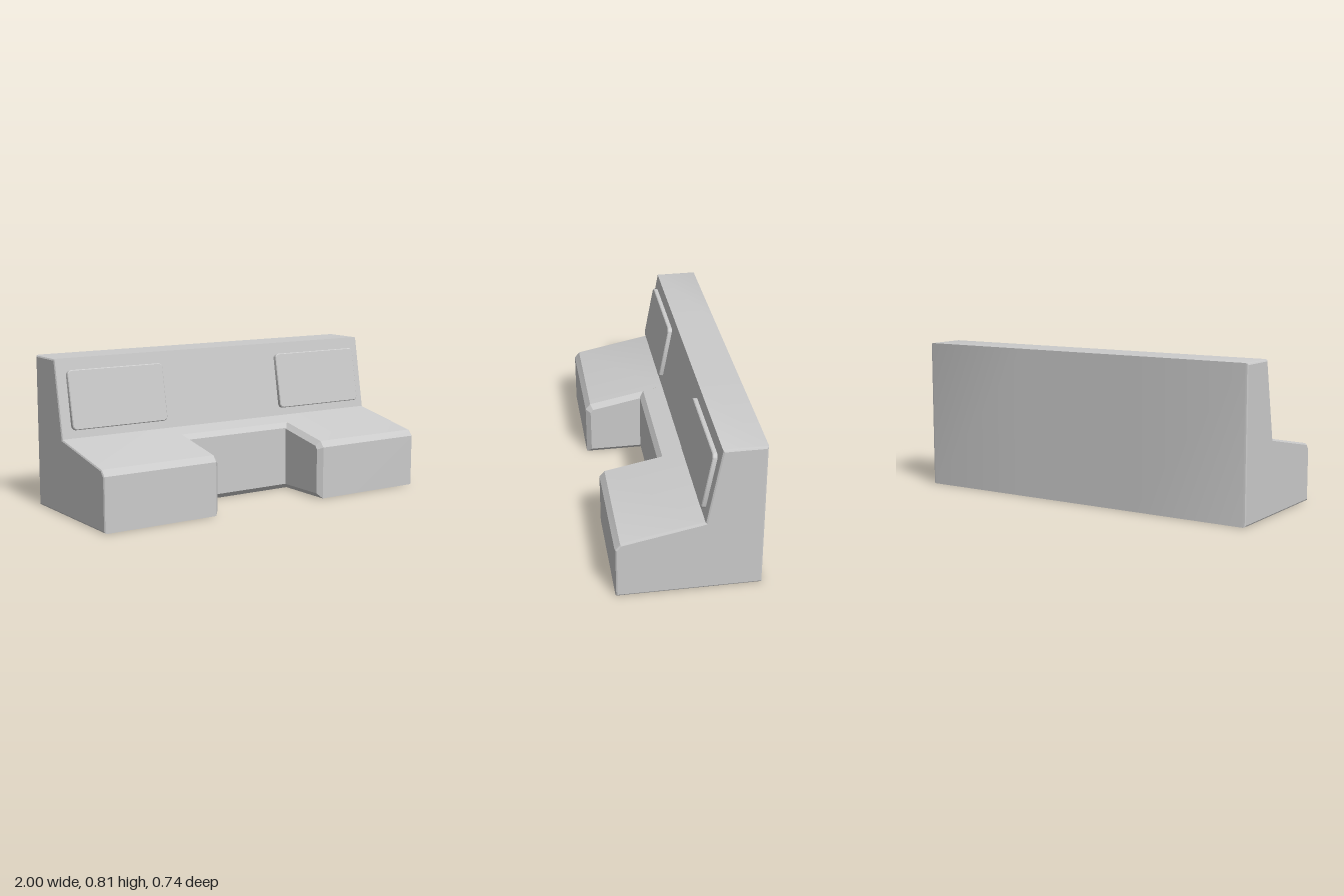
import * as THREE from 'three';
import { toCreasedNormals } from 'three/addons/utils/BufferGeometryUtils.js';

const material = new THREE.MeshStandardMaterial({ color: 0xcccccc });

// Side outlines as [z, y] points, counter-clockwise
const outline = [[0.372, 0], [0.372, 0.285], [0.345, 0.317], [-0.075, 0.4], [-0.15, 0.81], [-0.372, 0.81], [-0.372, 0]];
const recessOutline = [[0.035, 0], [0.058, 0.027], [0.058, 0.35], [0.035, 0.378], ...outline.slice(3)];
const lipOuter = [[0, 0], [0.372, 0], [0.372, 0.285], [0.345, 0.317], [0, 0.385]];
const lipInner = [[0, 0.027], [0.346, 0.027], [0.346, 0.272], [0.332, 0.291], [0, 0.357]];

// Move every side of an outline inwards by d
function inset(points, d) {
  const n = points.length;
  const normal = (a, b) => {
    const l = Math.hypot(b[0] - a[0], b[1] - a[1]);
    return [-(b[1] - a[1]) / l, (b[0] - a[0]) / l];
  };
  return points.map((p, i) => {
    const n1 = normal(points[(i + n - 1) % n], p);
    const n2 = normal(p, points[(i + 1) % n]);
    const k = d / (1 + n1[0] * n2[0] + n1[1] * n2[1]);
    return [p[0] + (n1[0] + n2[0]) * k, p[1] + (n1[1] + n2[1]) * k];
  });
}

// Skin sections [x, outline] in order of rising x, with optional end caps
function loft(sections, capLow, capHigh) {
  const pos = [];
  const add = (x, p) => pos.push(x, p[1], p[0]);
  for (let s = 0; s + 1 < sections.length; s++) {
    const [x0, a] = sections[s], [x1, b] = sections[s + 1];
    for (let i = 0; i < a.length; i++) {
      const j = (i + 1) % a.length;
      add(x0, a[i]); add(x1, b[i]); add(x1, b[j]);
      add(x0, a[i]); add(x1, b[j]); add(x0, a[j]);
    }
  }
  const cap = ([x, pts], flip) => {
    const contour = pts.map((p) => new THREE.Vector2(p[0], p[1]));
    for (const [a, b, c] of THREE.ShapeUtils.triangulateShape(contour, [])) {
      for (const i of flip ? [a, c, b] : [a, b, c]) add(x, pts[i]);
    }
  };
  if (capLow) cap(sections[0], false);
  if (capHigh) cap(sections[sections.length - 1], true);
  const geometry = new THREE.BufferGeometry();
  geometry.setAttribute('position', new THREE.Float32BufferAttribute(pos, 3));
  return toCreasedNormals(geometry, 0.3);
}

// Rounded slab with softened edges
function panelGeometry(w, h, r) {
  const s = new THREE.Shape();
  const x = w / 2, y = h / 2;
  s.absarc(x - r, y - r, r, 0, Math.PI / 2);
  s.absarc(-x + r, y - r, r, Math.PI / 2, Math.PI);
  s.absarc(-x + r, -y + r, r, Math.PI, Math.PI * 1.5);
  s.absarc(x - r, -y + r, r, Math.PI * 1.5, Math.PI * 2);
  s.closePath();
  const g = new THREE.ExtrudeGeometry(s, {
    depth: 0.022, bevelEnabled: true, bevelThickness: 0.004, bevelSize: 0.004,
    bevelOffset: -0.004, bevelSegments: 1, curveSegments: 5,
  });
  return toCreasedNormals(g, 0.5);
}

export function createModel() {
  const group = new THREE.Group();
  const add = (name, geometry) => {
    const mesh = new THREE.Mesh(geometry, material);
    mesh.name = name;
    group.add(mesh);
    return mesh;
  };

  // Middle of the bench, with the recessed front wall
  add('recessedCentre', loft([[-0.35, recessOutline], [0.35, recessOutline]], false, false));

  const bench = [[0.35, outline], [0.985, outline], [0.996, inset(outline, 0.003)], [1, inset(outline, 0.01)]];
  const lip = [[0.325, lipInner], [0.35, lipOuter]];
  const mirror = (sections) => sections.map(([x, p]) => [-x, p]).reverse();
  const panel = panelGeometry(0.566, 0.311, 0.025);

  for (const side of [1, -1]) {
    const label = side > 0 ? 'left' : 'right';
    const left = side > 0;
    // Seat and backrest half with a softened outer end
    add(label + 'Bench', loft(left ? bench : mirror(bench), !left, left));
    // Chamfered wall beside the recess
    add(label + 'RecessWall', loft(left ? lip : mirror(lip), left, !left));
    // Tilted cushion on the backrest
    const cushion = add(label + 'BackCushion', panel);
    cushion.position.set(side * 0.66, 0.593, -0.113);
    cushion.rotation.x = -Math.atan(0.183);
  }
  return group;
}
